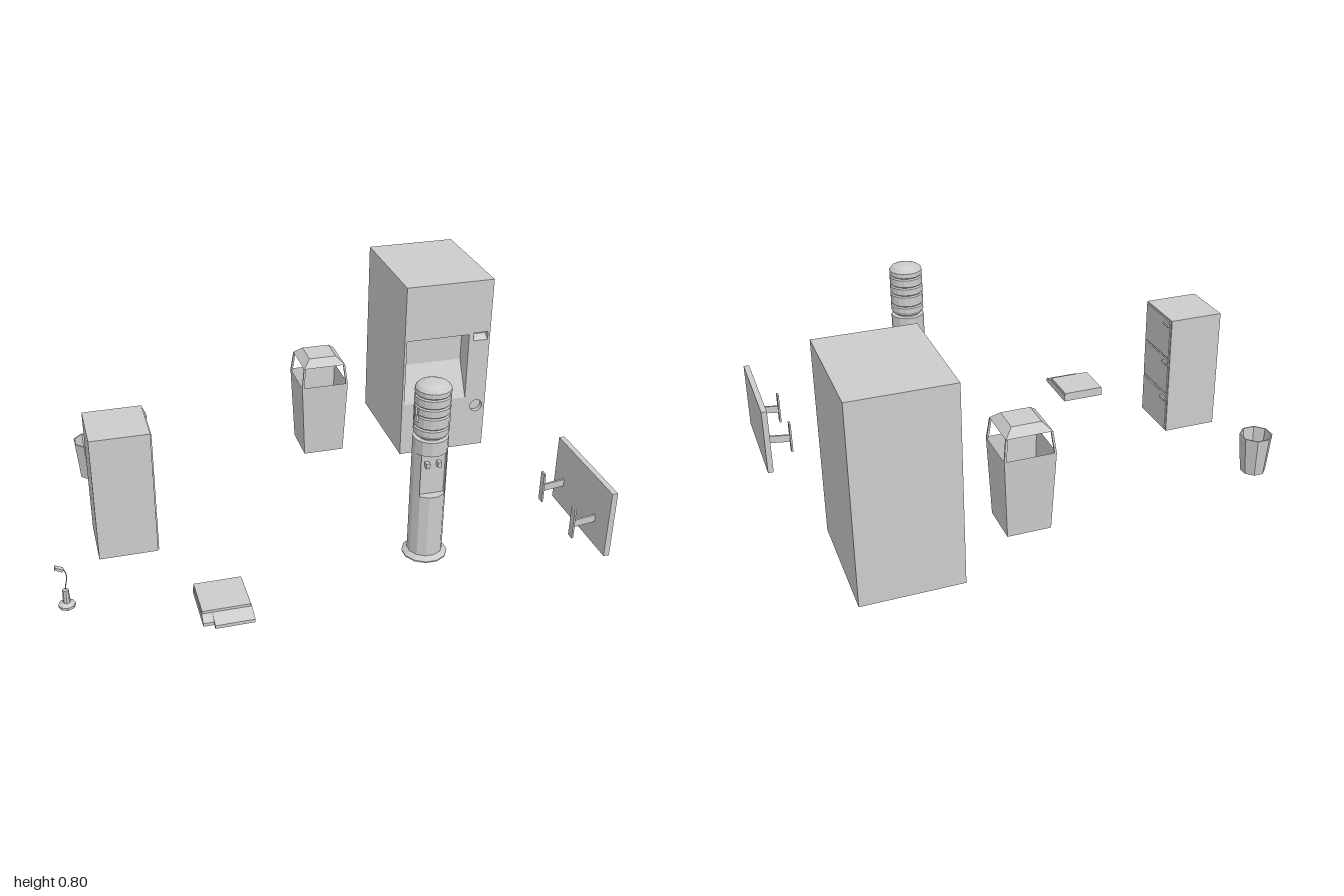
import * as THREE from 'three';

const mat = new THREE.MeshStandardMaterial({ color: 0xcccccc, flatShading: true, side: THREE.DoubleSide });

function add(parent, name, geo, x = 0, y = 0, z = 0) {
  const m = new THREE.Mesh(geo, mat);
  m.name = name;
  m.position.set(x, y, z);
  parent.add(m);
  return m;
}

// Box given by its limits
function span(parent, name, x0, x1, y0, y1, z0, z1) {
  return add(parent, name, new THREE.BoxGeometry(x1 - x0, y1 - y0, z1 - z0),
    (x0 + x1) / 2, (y0 + y1) / 2, (z0 + z1) / 2);
}

// Box without the faces whose normal matches one of the skip axes
function openBox(w, h, d, skip, hSeg = 1) {
  const g = new THREE.BoxGeometry(w, h, d, 1, hSeg, 1);
  const n = g.attributes.normal, keep = [];
  for (let i = 0; i < g.index.count; i += 3) {
    const a = g.index.getX(i);
    const hit = skip.some(s => s[0] * n.getX(a) + s[1] * n.getY(a) + s[2] * n.getZ(a) > 0.9);
    if (!hit) keep.push(a, g.index.getX(i + 1), g.index.getX(i + 2));
  }
  g.setIndex(keep);
  return g;
}

function bend(g, rule) {
  const p = g.attributes.position, v = new THREE.Vector3();
  for (let i = 0; i < p.count; i++) {
    rule(v.fromBufferAttribute(p, i));
    p.setXYZ(i, v.x, v.y, v.z);
  }
  g.computeVertexNormals();
  return g;
}

function lathe(pts, sides, start = 0, length = Math.PI * 2) {
  return new THREE.LatheGeometry(pts.map(p => new THREE.Vector2(...p)), sides, start, length);
}

function rectPath(x0, x1, y0, y1, P = THREE.Path) {
  const p = new P();
  p.moveTo(x0, y0).lineTo(x1, y0).lineTo(x1, y1).lineTo(x0, y1).closePath();
  return p;
}

// Vending machine: open underneath, front with pockets
function vendingMachine() {
  const g = new THREE.Group();
  add(g, 'machineShell', openBox(0.372, 0.76, 0.482, [[0, -1, 0], [0, 0, 1]]), 0.681, 0.42, -0.454);
  const face = rectPath(0.495, 0.867, 0.04, 0.8, THREE.Shape);
  const dial = new THREE.Path();
  dial.absarc(0.828, 0.23, 0.027, 0, Math.PI * 2, true);
  face.holes.push(rectPath(0.505, 0.775, 0.275, 0.565), rectPath(0.795, 0.857, 0.535, 0.57), dial);
  add(g, 'machineFront', new THREE.ShapeGeometry(face, 8), 0, 0, -0.213);
  // pockets whose floor slopes down to the front
  const pocket = (w, h, d) => bend(openBox(w, h, d, [[0, 0, 1], [0, -1, 0]], 2), v => {
    if (v.y < -h / 2 + 1e-4) v.z = d / 2;
  });
  add(g, 'dispensingPocket', pocket(0.27, 0.29, 0.08), 0.64, 0.42, -0.253);
  add(g, 'coinSlot', pocket(0.062, 0.035, 0.03), 0.826, 0.5525, -0.228);
  add(g, 'coinReturn', lathe([[0.027, 0], [0.027, -0.02], [0, -0.02]], 16).rotateX(Math.PI / 2), 0.828, 0.23, -0.213);
  return g;
}

// Square bin with a raised hood on four posts
function hoodedBin() {
  const g = new THREE.Group();
  g.position.set(0.188, 0, -0.405);
  const taper = (h, low, high) => v => {
    const k = THREE.MathUtils.lerp(low, high, v.y / h + 0.5);
    v.x *= k; v.z *= k;
  };
  add(g, 'binBody', bend(openBox(0.196, 0.32, 0.196, [[0, 1, 0]]), taper(0.32, 0.86, 1)), 0, 0.2, 0);
  add(g, 'binHood', bend(openBox(0.176, 0.03, 0.176, [[0, -1, 0]]), taper(0.03, 1, 0.64)), 0, 0.457, 0);
  for (const sx of [-1, 1]) for (const sz of [-1, 1]) {
    const post = bend(new THREE.BoxGeometry(0.008, 0.085, 0.008), v => {
      const k = 0.094 - (v.y / 0.085 + 0.5) * 0.01;
      v.x += sx * k; v.z += sz * k;
    });
    add(g, 'binPost', post, 0, 0.4, 0);
  }
  return g;
}

// Water cooler: faceted column with tap alcove, ribbed bottle with side handle
function waterCooler() {
  const g = new THREE.Group();
  g.position.set(0.348, 0, 0.48);
  const R = 0.065, column = (y0, y1, notch) => {
    const pts = [];
    for (let i = 0; i < 12; i++) {
      const a = Math.PI * (i + 0.5) / 6;
      const x = R * Math.cos(a), z = R * Math.sin(a);
      if (!(notch && z > 0.04)) pts.push([x, z]);
      if (notch && i === 1) pts.push([0.048, 0.045], [0.048, 0.03], [-0.048, 0.03], [-0.048, 0.045]);
    }
    const s = new THREE.Shape(pts.map(p => new THREE.Vector2(p[0], -p[1])));
    const geo = new THREE.ExtrudeGeometry(s, { depth: y1 - y0, bevelEnabled: false });
    add(g, 'coolerColumn', geo.rotateX(-Math.PI / 2), 0, y0, 0);
  };
  column(0.05, 0.31);
  column(0.31, 0.48, true);
  column(0.48, 0.535);
  add(g, 'coolerFoot', lathe([[0, 0.04], [0.084, 0.04], [0.084, 0.045], [0.063, 0.06]], 12, Math.PI / 12));
  for (const s of [-1, 1]) span(g, 'tap', s * 0.022 - 0.007, s * 0.022 + 0.007, 0.425, 0.445, 0.028, 0.05);
  // bottle below and above the handle zone
  add(g, 'bottleBottom', lathe([[0.045, 0.53], [0.045, 0.54], [0.058, 0.545], [0.065, 0.558], [0.065, 0.578],
    [0.06, 0.583], [0.065, 0.588], [0.065, 0.605], [0, 0.605]], 16));
  add(g, 'bottleTop', lathe([[0, 0.66], [0.065, 0.66], [0.06, 0.665], [0.065, 0.67], [0.065, 0.698],
    [0.06, 0.703], [0.065, 0.708], [0.065, 0.726], [0.055, 0.738], [0.03, 0.747], [0, 0.748]], 16));
  add(g, 'bottleMiddle', lathe([[0.065, 0.605], [0.065, 0.625], [0.06, 0.63], [0.065, 0.635], [0.065, 0.66]],
    14, -Math.PI / 2 + 0.4, Math.PI * 2 - 0.8));
  const c = 0.065 * Math.cos(0.4);
  const edge = 0.065 * Math.sin(0.4);
  span(g, 'handleRecess', -c + 0.015, -c + 0.019, 0.605, 0.66, -edge, edge);
  for (const s of [-1, 1]) span(g, 'handleRecessSide', -c, -c + 0.019, 0.605, 0.66, s * edge - 0.001, s * edge + 0.001);
  span(g, 'bottleHandle', -0.065, -0.058, 0.605, 0.66, -0.007, 0.007);
  return g;
}

// Filing cabinet with three drawers facing +x
function filingCabinet() {
  const g = new THREE.Group();
  span(g, 'cabinetBody', -0.83, -0.611, 0.04, 0.54, 0.005, 0.228);
  for (const [y0, y1] of [[0.045, 0.2], [0.213, 0.365], [0.372, 0.533]]) {
    span(g, 'drawerFront', -0.612, -0.606, y0, y1, 0.012, 0.221);
    span(g, 'drawerHandle', -0.608, -0.599, y1 - 0.024, y1 - 0.014, 0.018, 0.055);
  }
  return g;
}

// Small eight-sided waste basket
function wasteBasket() {
  const g = new THREE.Group();
  g.position.set(-0.79, 0, -0.395);
  add(g, 'basket', lathe([[0, 0.04], [0.049, 0.04], [0.064, 0.2], [0.059, 0.2], [0.045, 0.046], [0, 0.046]], 8, Math.PI / 8));
  return g;
}

// Desk lamp with a thin bent arm
function lamp() {
  const g = new THREE.Group();
  g.position.set(-0.97, 0, 0.476);
  add(g, 'lampBase', lathe([[0, 0.04], [0.03, 0.04], [0.03, 0.05], [0.013, 0.058], [0.011, 0.11], [0, 0.112]], 8));
  const path = new THREE.CatmullRomCurve3([[0, 0.11], [0.003, 0.13], [0.009, 0.16], [0.006, 0.185], [-0.004, 0.2]]
    .map(p => new THREE.Vector3(p[0], p[1], 0)));
  add(g, 'lampArm', new THREE.TubeGeometry(path, 8, 0.002, 5));
  const head = add(g, 'lampHead', new THREE.BoxGeometry(0.03, 0.01, 0.018), -0.014, 0.2, 0);
  head.rotation.z = -0.45;
  return g;
}

// Floor scale: sloped body on a hollow rim with a flat platform
function floorScale() {
  const g = new THREE.Group();
  const wedge = (x0, x1, front) => {
    const s = new THREE.Shape([[-0.468, 0.006], [-front, 0.006], [-front, 0.013], [-0.635, 0.03], [-0.468, 0.03]]
      .map(p => new THREE.Vector2(...p)));
    const geo = new THREE.ExtrudeGeometry(s, { depth: x1 - x0, bevelEnabled: false });
    add(g, 'scaleBody', geo.rotateY(Math.PI / 2), x0, 0, 0);
  };
  wedge(-0.525, -0.487, 0.663);
  wedge(-0.487, -0.345, 0.685);
  const rim = new THREE.Shape([[-0.525, -0.468], [-0.345, -0.468], [-0.345, -0.685], [-0.487, -0.685],
    [-0.487, -0.663], [-0.525, -0.663]].map(p => new THREE.Vector2(...p)));
  rim.holes.push(rectPath(-0.512, -0.358, -0.65, -0.481));
  add(g, 'scaleRim', new THREE.ExtrudeGeometry(rim, { depth: 0.006, bevelEnabled: false }).rotateX(-Math.PI / 2));
  span(g, 'scalePlatform', -0.522, -0.348, 0.03, 0.04, 0.465, 0.63);
  return g;
}

// Flat panel on two wall brackets
function wallPanel() {
  const g = new THREE.Group();
  span(g, 'panel', 0.978, 1, 0.04, 0.31, 0.258, 0.69);
  for (const z of [0.332, 0.592]) {
    span(g, 'bracketPlate', 0.885, 0.892, 0.08, 0.205, z - 0.014, z + 0.014);
    const arm = bend(new THREE.BoxGeometry(0.09, 0.03, 0.008), v => { v.y += v.x > 0 ? 0.008 : -0.003; });
    add(g, 'bracketArm', arm, 0.935, 0.14, z);
  }
  return g;
}

export function createModel() {
  const root = new THREE.Group();
  const parts = { vendingMachine, hoodedBin, waterCooler, filingCabinet, wasteBasket, lamp, floorScale, wallPanel };
  for (const [name, build] of Object.entries(parts)) {
    const part = build();
    part.name = name;
    root.add(part);
  }
  return root;
}
